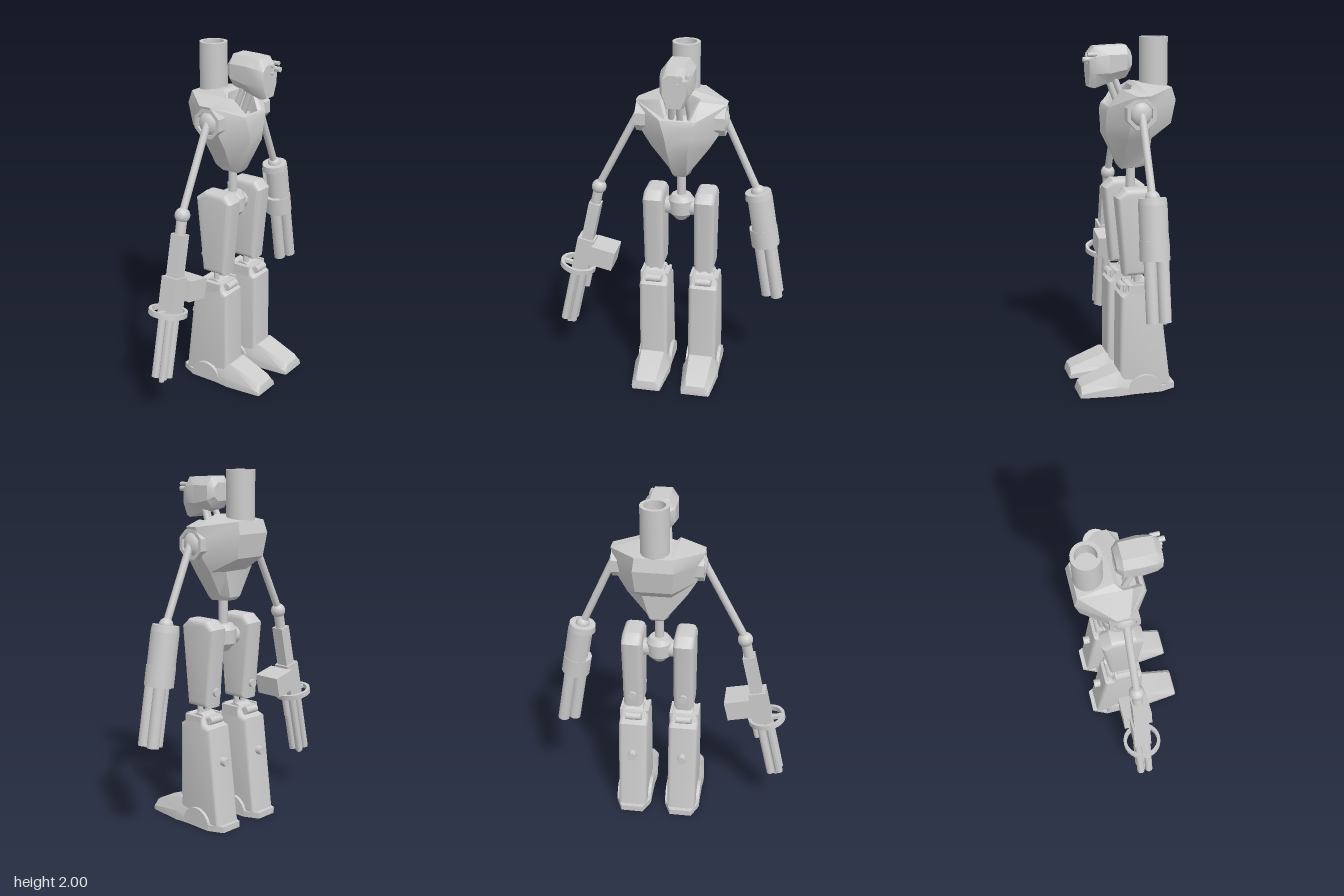
import * as THREE from 'three';
import { toCreasedNormals } from 'three/addons/utils/BufferGeometryUtils.js';

const mat = new THREE.MeshStandardMaterial({ color: 0xcccccc, side: THREE.DoubleSide });
const V = (x, y, z) => new THREE.Vector3(x, y, z);

function add(parent, name, geo, x = 0, y = 0, z = 0) {
  const m = new THREE.Mesh(geo, mat);
  m.name = name;
  m.position.set(x, y, z);
  parent.add(m);
  return m;
}

// Skin over closed rings, listed counter-clockwise about the direction of travel
function loft(rings, crease = 0.45) {
  const n = rings[0].length, idx = [], last = (rings.length - 1) * n;
  for (let i = 0; i < rings.length - 1; i++)
    for (let j = 0; j < n; j++) {
      const a = i * n + j, b = i * n + (j + 1) % n;
      idx.push(a, b, b + n, a, b + n, a + n);
    }
  for (let j = 1; j < n - 1; j++) idx.push(0, j + 1, j, last, last + j, last + j + 1);
  const g = new THREE.BufferGeometry();
  g.setAttribute('position', new THREE.Float32BufferAttribute(rings.flat(2), 3));
  g.setIndex(idx);
  return toCreasedNormals(g, crease);
}

// Completes half a ring with its mirror image in x
const mirrored = half => [...half, ...half.map(([x, y, z]) => [-x, y, z]).reverse()];

// Side profile of [z, y] points, extruded across x with rounded edges
function slab(points, width, bevel, hole) {
  const s = new THREE.Shape(points.map(p => new THREE.Vector2(...p)));
  if (hole) s.holes.push(new THREE.Path(hole.map(p => new THREE.Vector2(...p))));
  const g = new THREE.ExtrudeGeometry(s, {
    depth: width - 2 * bevel, bevelEnabled: true, bevelThickness: bevel,
    bevelSize: bevel, bevelOffset: -bevel, bevelSegments: 4,
  });
  g.translate(0, 0, bevel - width / 2).rotateY(-Math.PI / 2);
  return toCreasedNormals(g, 0.5);
}

function rod(parent, name, a, b, r, sides = 16) {
  const d = b.clone().sub(a);
  const m = add(parent, name, new THREE.CylinderGeometry(r, r, d.length(), sides));
  m.position.copy(a).addScaledVector(d, 0.5);
  m.quaternion.setFromUnitVectors(V(0, 1, 0), d.normalize());
  return m;
}

// Hollow pipe standing from y0 up to y1
function pipe(rOut, rIn, y0, y1, sides = 24) {
  const p = [[rIn, y0], [rOut, y0], [rOut, y1], [rIn, y1], [rIn, y0]].map(q => new THREE.Vector2(...q));
  return toCreasedNormals(new THREE.LatheGeometry(p, sides), 0.5);
}

function buildTorso(body) {
  // front half width, z, y | side half width, z1, z2, y | back half width, z, y
  const rows = [
    [.03, 0, 1.27, .055, -.04, -.09, 1.28, .03, -.13, 1.28],
    [.04, .015, 1.29, .068, -.03, -.1, 1.31, .04, -.15, 1.3],
    [.06, .1, 1.47, .165, 0, -.12, 1.45, .08, -.16, 1.45],
    [.07, .1, 1.53, .215, 0, -.11, 1.53, .1, -.265, 1.53],
    [.09, .1, 1.6, .235, -.01, -.11, 1.63, .11, -.288, 1.66],
    [.1, .09, 1.63, .255, -.03, -.1, 1.7, .1, -.268, 1.73],
    [.07, .085, 1.635, .11, .02, -.03, 1.725, .075, -.07, 1.757],
    [.055, .07, 1.63, .09, .015, -.03, 1.71, .055, -.05, 1.74],
    [.05, .06, 1.57, .08, 0, -.03, 1.61, .05, -.045, 1.62],
  ];
  add(body, 'torso', loft(rows.map(([fw, zf, yf, w, z1, z2, ym, bw, zb, yb]) =>
    mirrored([[fw, yf, zf], [w, ym, z1], [w, ym, z2], [bw, yb, zb]]))));
  add(body, 'chimney', pipe(.079, .058, 1.66, 2), 0, 0, -.19);
  add(body, 'chimneyFloor', new THREE.CylinderGeometry(.06, .06, .02, 24), 0, 1.9, -.19);

  // Shoulder sockets with domed joints
  for (const s of [-1, 1]) {
    const frame = add(body, 'shoulderFrame', pipe(.088, .066, -.03, .03, 8), s * .222, 1.605, -.055);
    frame.rotation.set(0, Math.PI / 8, Math.PI / 2, 'ZYX');
    const joint = add(body, 'shoulderJoint', new THREE.SphereGeometry(1, 24, 16), s * .225, 1.605, -.055);
    joint.scale.set(.045, .07, .062);
  }
}

function buildHead(body) {
  // z | chin half width, y | cheek half width, lower y, upper y | crown half width, y
  const rows = [
    [-.05, .03, 1.825, .06, 1.85, 1.9, .03, 1.925],
    [-.02, .05, 1.785, .085, 1.83, 1.91, .05, 1.96],
    [.08, .05, 1.755, .09, 1.81, 1.91, .052, 1.957],
    [.155, .045, 1.728, .082, 1.81, 1.9, .047, 1.953],
    [.188, .036, 1.735, .066, 1.81, 1.885, .037, 1.915],
  ];
  add(body, 'head', loft(rows.map(([z, b, yb, w, y2, y1, a, yt]) =>
    mirrored([[b, yb, z], [w, y2, z], [w, y1, z], [a, yt, z]])), 0.6));
  // Off-centre cluster of eye lenses
  for (const [x, y, r, z] of [[.05, 1.885, .015, .222], [.018, 1.905, .01, .2], [.018, 1.865, .01, .2], [.07, 1.912, .012, .2]])
    rod(body, 'eye', V(x, y, .15), V(x, y, z), r, 12);
  for (const [x, z] of [[-.055, .02], [0, .05], [.055, .02]])
    rod(body, 'neckRod', V(x, 1.59, z - .05), V(x * .7, 1.8, z + .03), .018);
}

function buildPelvis(body) {
  rod(body, 'spine', V(0, 1.1, -.06), V(0, 1.32, -.06), .026);
  const bowl = [[0, .975], [.03, .985], [.072, 1.03], [.075, 1.11], [.055, 1.14], [0, 1.145]];
  add(body, 'pelvis', toCreasedNormals(new THREE.LatheGeometry(
    bowl.map(p => new THREE.Vector2(...p)), 16), 0.5), 0, 0, -.06);
  rod(body, 'hipAxle', V(-.12, 1.065, -.06), V(.12, 1.065, -.06), .05);
}

function buildLeg(body, s) {
  const leg = new THREE.Group();
  leg.name = s > 0 ? 'leftLeg' : 'rightLeg';
  leg.position.x = s * .148;
  body.add(leg);

  // Thigh with a recess on its inner face
  add(leg, 'thigh', slab([[.025, .69], [-.135, .69], [-.178, 1.14], [-.12, 1.185], [.02, 1.185], [.07, 1.14]],
    .118, .03, [[-.02, .8], [-.02, .98], [-.09, .98], [-.09, .8]]));
  add(leg, 'thighBacking', new THREE.BoxGeometry(.07, .27, .11), s * .023, .89, -.055);
  rod(leg, 'thighKnob', V(0, .78, -.1), V(0, .78, -.162), .024);

  // Knee
  for (const x of [-.027, .027]) rod(leg, 'kneeRod', V(x, .58, -.05), V(x, .72, -.05), .016);
  rod(leg, 'kneeHub', V(-.05, .6, -.06), V(.05, .6, -.06), .055, 24);
  add(leg, 'kneeBlock', new THREE.BoxGeometry(.1, .05, .17), 0, .61, -.055);
  for (const z of [.03, -.135]) rod(leg, 'kneePin', V(-.045, .62, z), V(.045, .62, z), .022);

  // Shin
  add(leg, 'shin', slab([[.06, .02], [-.245, .02], [-.175, .585], [-.13, .6], [-.11, .64], [.01, .64], [.03, .6], [.055, .585]], .17, .025));
  for (const x of [-.077, .077])
    add(leg, 'shinEar', new THREE.BoxGeometry(.016, .06, .12), x, .615, -.05);
  rod(leg, 'shinKnob', V(0, .39, -.15), V(0, .39, -.235), .025);

  // Foot: toe, heel plate and ankle discs
  const toe = [[-.02, .1, .08, .1], [.075, .108, .07, .137], [.26, .088, .06, .07], [.282, .085, .055, .055], [.29, .08, .06, .02]];
  add(leg, 'toe', loft(toe.map(([z, b, t, y]) => mirrored([[b, 0, z], [b, y * .4, z], [t, y, z]]))));
  const heel = y => mirrored([[.1, y, .04], [.104, y, -.18], [.065, y, -.268]]);
  add(leg, 'heelPlate', loft([heel(0), heel(.035)]));
  const disc = add(leg, 'ankleDisc', new THREE.CylinderGeometry(.1, .1, .208, 32, 1, false, 0, Math.PI), 0, .01, -.085);
  disc.rotation.z = Math.PI / 2;
}

function buildLeftArm(model) {
  rod(model, 'leftUpperArm', V(.29, 1.65, -.055), V(.505, 1.18, -.06), .021);
  const gun = new THREE.Group();
  gun.name = 'leftBarrelArm';
  gun.position.set(.5, 1.19, -.06);
  gun.rotation.z = .174;
  model.add(gun);
  add(gun, 'elbow', new THREE.SphereGeometry(.04, 20, 14));
  add(gun, 'housingTop', new THREE.CylinderGeometry(.074, .078, .04, 28), 0, -.02, 0);
  add(gun, 'housingSleeve', new THREE.CylinderGeometry(.078, .078, .19, 28, 1, true, Math.PI * 1.5 + .75, Math.PI * 2 - 1.5), 0, -.13, 0);
  add(gun, 'housingCore', new THREE.CylinderGeometry(.057, .057, .2, 24), 0, -.13, 0);
  add(gun, 'housingBand', new THREE.CylinderGeometry(.081, .081, .11, 28), 0, -.275, 0);
  for (const [x, z] of [[.025, .035], [.025, -.035], [-.034, 0]])
    add(gun, 'barrel', pipe(.034, .025, -.66, -.3, 20), x, 0, z);
}

function buildRightArm(model) {
  rod(model, 'rightUpperArm', V(-.17, 1.65, -.05), V(-.425, 1.16, -.05), .021);
  const gun = new THREE.Group();
  gun.name = 'rightWeaponArm';
  gun.position.set(-.425, 1.15, -.05);
  gun.rotation.z = -.222;
  model.add(gun);
  add(gun, 'elbow', new THREE.SphereGeometry(.043, 20, 14));
  rod(gun, 'wrist', V(0, 0, 0), V(0, -.13, 0), .03);
  add(gun, 'forearm', new THREE.BoxGeometry(.068, .26, .075), 0, -.235, 0);
  add(gun, 'receiver', new THREE.BoxGeometry(.1, .21, .1), -.005, -.45, 0);
  add(gun, 'magazine', new THREE.BoxGeometry(.145, .12, .168), .115, -.42, 0);
  rod(gun, 'sideRod', V(.053, -.45, 0), V(.053, -.675, 0), .018);
  // Guard ring on a cross bar
  add(gun, 'guardRing', pipe(.109, .09, -.56, -.53, 28), -.026, 0, 0);
  add(gun, 'guardBar', new THREE.BoxGeometry(.2, .02, .03), -.026, -.545, 0);
  // Barrel cluster
  for (let i = 0; i < 4; i++) {
    const a = Math.PI / 4 + i * Math.PI / 2;
    add(gun, 'barrel', pipe(.023, .014, -.93, -.54, 14), -.01 + Math.cos(a) * .036, 0, Math.sin(a) * .036);
  }
  rod(gun, 'barrelSpindle', V(-.01, -.5, 0), V(-.01, -.96, 0), .014);
}

export function createModel() {
  const model = new THREE.Group();
  model.name = 'robot';
  const body = new THREE.Group();
  body.name = 'body';
  body.position.x = .06;
  model.add(body);
  buildTorso(body);
  buildHead(body);
  buildPelvis(body);
  for (const s of [-1, 1]) buildLeg(body, s);
  buildLeftArm(model);
  buildRightArm(model);
  return model;
}
